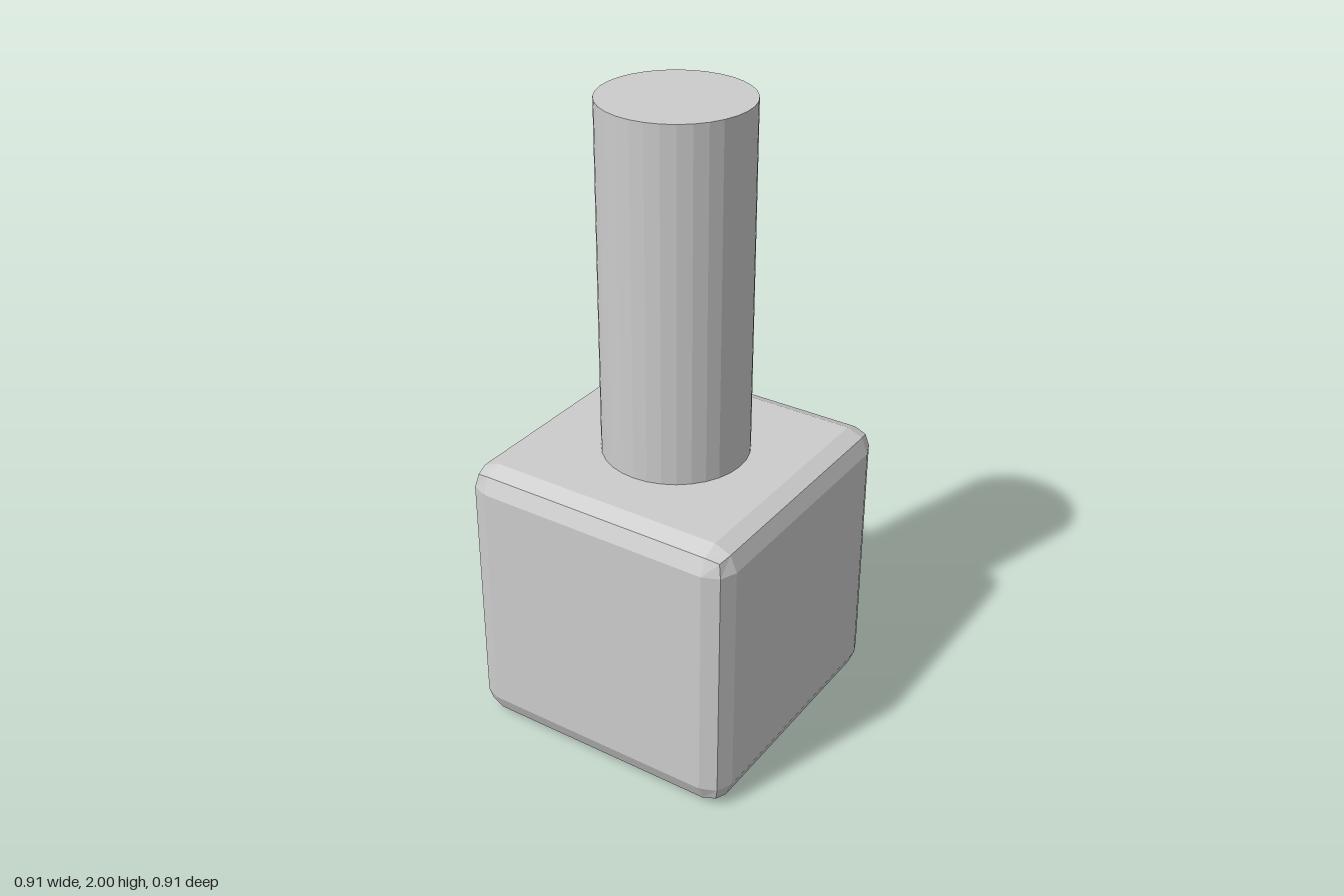
import * as THREE from 'three';
import { RoundedBoxGeometry } from 'three/addons/geometries/RoundedBoxGeometry.js';

export function createModel() {
  const model = new THREE.Group();
  const grey = new THREE.MeshStandardMaterial({ color: 0xcccccc, flatShading: true });
  grey.name = 'light grey';

  const side = 0.906, bevel = 0.072, height = 2, radius = 0.226;

  function add(name, geometry, y) {
    const flat = geometry.index ? geometry.toNonIndexed() : geometry;
    flat.computeVertexNormals();
    const mesh = new THREE.Mesh(flat, grey);
    mesh.name = name;
    mesh.position.y = y;
    model.add(mesh);
  }

  // Cube with a two-facet bevel on every edge
  add('bottle', new RoundedBoxGeometry(side, side, side, 1, bevel), side / 2);

  // Tall round cap standing on the cube
  const capHeight = height - side;
  add('cap', new THREE.CylinderGeometry(radius, radius, capHeight, 32), side + capHeight / 2);

  return model;
}
